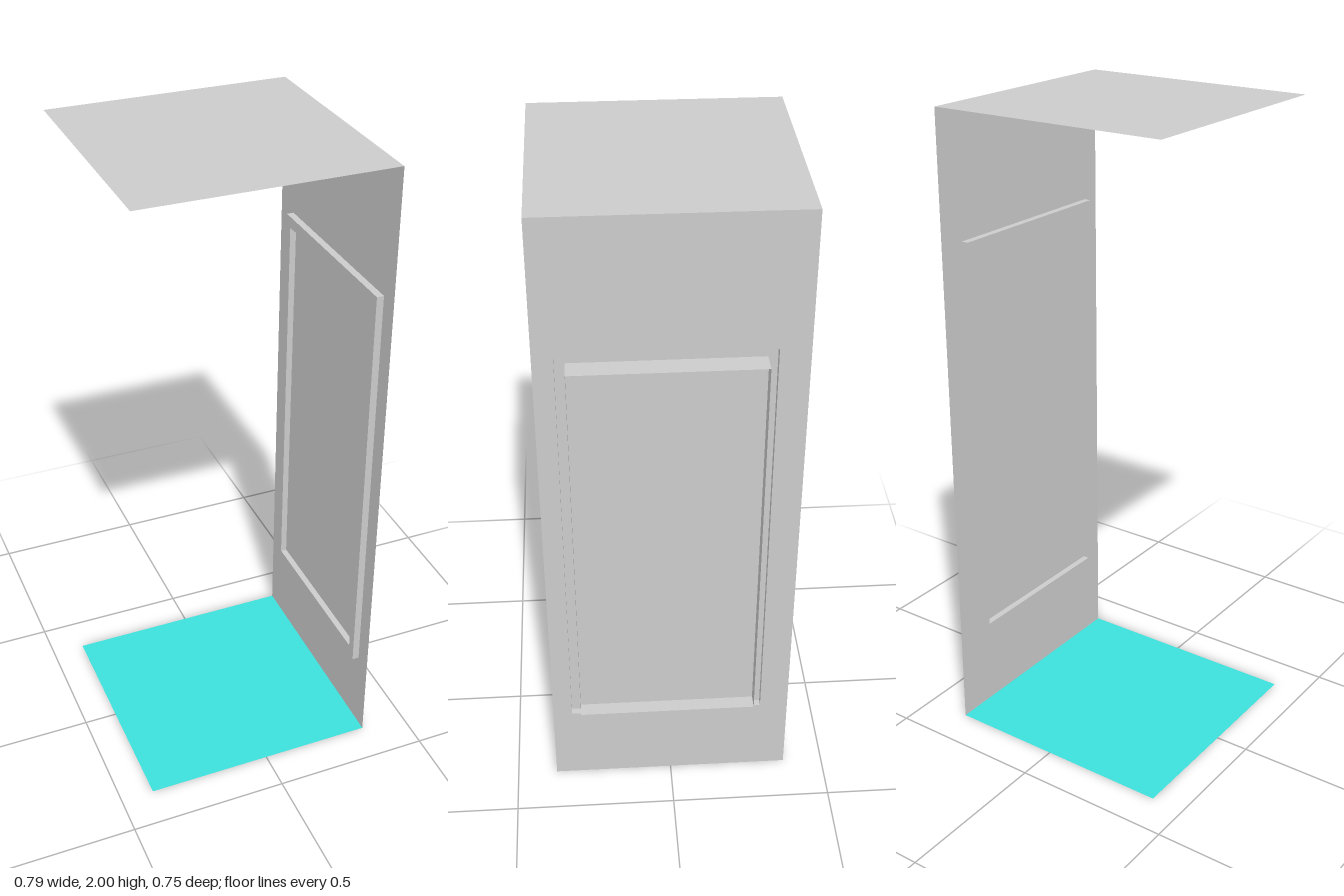
import * as THREE from 'three';

const grey = new THREE.MeshStandardMaterial({ color: 0xcccccc, side: THREE.DoubleSide });
const teal = new THREE.MeshStandardMaterial({ color: 0x3ce0dd, side: THREE.DoubleSide });

// Extents of the room shell and the window openings
const LEFT = -0.395, WALL = 0.352, HALF_DEPTH = 0.374, HEIGHT = 2;
const RECESS = 0.33, PANE = 0.35, OUTER = 0.395;
const outerRect = { z0: -0.287, z1: 0.315, y0: 0.265, y1: 1.597 };
const innerRect = { z0: -0.26, z1: 0.286, y0: 0.302, y1: 1.562 };

function mesh(name, geometry, material = grey) {
  const m = new THREE.Mesh(geometry, material);
  m.name = name;
  return m;
}

// Corners of a rectangle in the wall plane, with -z running along shape x
const corners = (r) => [[-r.z1, r.y0], [-r.z0, r.y0], [-r.z0, r.y1], [-r.z1, r.y1]]
  .map(([u, v]) => new THREE.Vector2(u, v));

// Flat sheet facing +x, with an optional rectangular hole
function sheet(name, x, rect, hole) {
  const shape = new THREE.Shape(corners(rect));
  if (hole) shape.holes.push(new THREE.Path(corners(hole).reverse()));
  return mesh(name, new THREE.ShapeGeometry(shape).rotateY(Math.PI / 2).translate(x, 0, 0));
}

// Open rectangular sleeve running along x, made of four thin sides
function sleeve(name, x0, x1, r) {
  const group = new THREE.Group();
  group.name = name;
  const w = x1 - x0, cx = (x0 + x1) / 2;
  const cy = (r.y0 + r.y1) / 2, cz = (r.z0 + r.z1) / 2;
  for (const s of [-1, 1]) {
    const level = new THREE.PlaneGeometry(w, r.z1 - r.z0).rotateX(-s * Math.PI / 2);
    level.translate(cx, s > 0 ? r.y1 : r.y0, cz);
    const upright = new THREE.PlaneGeometry(w, r.y1 - r.y0).rotateY(s > 0 ? 0 : Math.PI);
    upright.translate(cx, cy, s > 0 ? r.z1 : r.z0);
    group.add(mesh(s > 0 ? 'top' : 'bottom', level), mesh(s > 0 ? 'frontSide' : 'backSide', upright));
  }
  return group;
}

// Horizontal sheet of the room shell
function slab(name, y, material) {
  const g = new THREE.PlaneGeometry(WALL - LEFT, HALF_DEPTH * 2).rotateX(-Math.PI / 2);
  return mesh(name, g.translate((LEFT + WALL) / 2, y, 0), material);
}

export function createModel() {
  const model = new THREE.Group();
  model.name = 'wallSection';

  // Floor, ceiling and the wall with its opening
  model.add(slab('floor', 0, teal), slab('ceiling', HEIGHT, grey));
  const wallRect = { z0: -HALF_DEPTH, z1: HALF_DEPTH, y0: 0, y1: HEIGHT };
  model.add(sheet('wall', WALL, wallRect, outerRect));

  // Stepped window: shallow recess, flange, projecting sleeve and pane
  const frame = new THREE.Group();
  frame.name = 'windowFrame';
  frame.add(
    sleeve('recessSides', RECESS, WALL, outerRect),
    sheet('flange', RECESS, outerRect, innerRect),
    sleeve('projectingSleeve', RECESS, OUTER, innerRect),
    sheet('pane', PANE, innerRect),
  );
  model.add(frame);
  return model;
}
